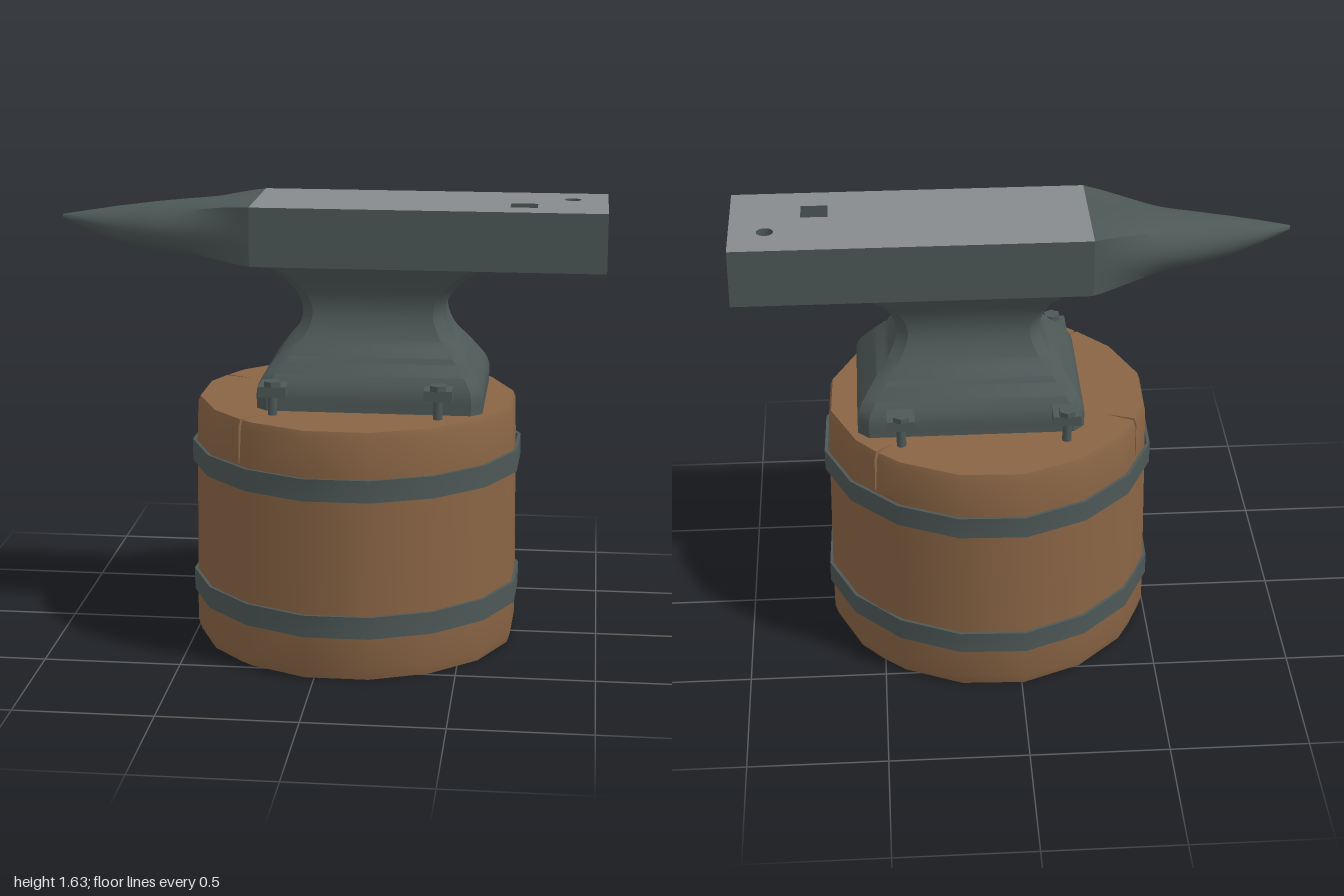
import * as THREE from 'three';
import { toCreasedNormals } from 'three/addons/utils/BufferGeometryUtils.js';

const steel = new THREE.MeshStandardMaterial({ color: 0x4d5857 });
steel.name = 'dark steel';
const polished = new THREE.MeshStandardMaterial({ color: 0x878b8e });
polished.name = 'polished steel';
const wood = new THREE.MeshStandardMaterial({ color: 0x8a6545 });
wood.name = 'wood';

// Skin a list of equal-length rings of [x, y, z] points, with optional end caps
function loft(rings, capped = true, crease = 0.6) {
  const n = rings[0].length;
  const pos = rings.flat(2);
  const index = [];
  for (let i = 0; i < rings.length - 1; i++) {
    for (let j = 0; j < n; j++) {
      const k = (j + 1) % n;
      const a = i * n + j, b = i * n + k, c = a + n, d = b + n;
      index.push(a, b, d, a, d, c);
    }
  }
  if (capped) {
    [0, rings.length - 1].forEach((r) => {
      const centre = pos.length / 3;
      for (let q = 0; q < 3; q++) pos.push((Math.min(...rings[r].map((p) => p[q])) + Math.max(...rings[r].map((p) => p[q]))) / 2);
      for (let j = 0; j < n; j++) {
        const a = r * n + j, b = r * n + (j + 1) % n;
        if (r === 0) index.push(centre, b, a);
        else index.push(centre, a, b);
      }
    });
  }
  const g = new THREE.BufferGeometry();
  g.setAttribute('position', new THREE.Float32BufferAttribute(pos, 3));
  g.setIndex(index);
  return toCreasedNormals(g, crease);
}

function add(parent, name, geometry, material) {
  const mesh = new THREE.Mesh(geometry, material);
  mesh.name = name;
  parent.add(mesh);
  return mesh;
}

// Uneven round outline of the log: [angle, radius factor, crack depth]
const SIDES = 16, STUMP_X = 0.093;
const outline = [];
for (let i = 0; i < SIDES; i++) outline.push([10 + i * 22.5, 1 - 0.018 * Math.abs(Math.sin(i * 2.3)), 0]);
const plainOutline = outline.slice();
for (const [angle, depth] of [[44, 0.16], [156, 0.2], [230, 0.17]]) {
  outline.push([angle - 0.6, 0.977, 0], [angle, 0.977, depth], [angle + 0.6, 0.977, 0]);
}
outline.sort((a, b) => a[0] - b[0]);

function logRing(points, radius, y, crack = 0) {
  return points.map(([deg, f, depth]) => {
    const a = THREE.MathUtils.degToRad(deg);
    const r = radius * f * (1 - depth * crack);
    return [STUMP_X + r * Math.cos(a), y, -r * Math.sin(a)];
  });
}

function buildStump() {
  const stump = new THREE.Group();
  stump.name = 'stump';
  // Radius, height, crack strength
  const levels = [[0.592, 0, 0], [0.604, 0.04, 0], [0.604, 0.2, 0], [0.6, 0.5, 0],
    [0.597, 0.75, 0], [0.594, 0.885, 1], [0.585, 0.91, 1]];
  add(stump, 'log', loft(levels.map(([r, y, c]) => logRing(outline, r, y, c))), wood);
  // Iron hoops
  for (const y of [0.16, 0.663]) {
    const profile = [[0.604, y], [0.616, y], [0.616, y + 0.081], [0.604, y + 0.081], [0.604, y]];
    add(stump, 'hoop', loft(profile.map(([r, h]) => logRing(plainOutline, r, h)), false), steel);
  }
  return stump;
}

// Waisted body with chamfered corners
function buildBody() {
  const curve = new THREE.CatmullRomCurve3([
    [0.408, 0.91, 0.3], [0.405, 0.99, 0.293], [0.345, 1.085, 0.23], [0.28, 1.17, 0.165],
    [0.258, 1.246, 0.14], [0.285, 1.32, 0.15], [0.4, 1.425, 0.212],
  ].map((p) => new THREE.Vector3(...p)));
  const rings = curve.getPoints(28).map(({ x, y, z }) => {
    const c = 0.04;
    return [[x, z - c], [x - c, z], [c - x, z], [-x, z - c], [-x, c - z], [c - x, -z], [x - c, -z], [x, c - z]]
      .map(([px, pz]) => [0.163 + px, y, -pz]);
  });
  return loft(rings);
}

// Flat slab with the square and round tool holes
function slab(y, height) {
  const s = new THREE.Shape([[-0.275, -0.226], [1, -0.226], [1, 0.226], [-0.275, 0.226]].map((p) => new THREE.Vector2(...p)));
  const square = [[0.652, -0.118], [0.652, -0.027], [0.749, -0.027], [0.749, -0.118]];
  s.holes.push(new THREE.Path(square.map((p) => new THREE.Vector2(...p))));
  s.holes.push(new THREE.Path().absarc(0.872, 0.08, 0.03, 0, Math.PI * 2, true));
  const g = new THREE.ExtrudeGeometry(s, { depth: height, bevelEnabled: false, curveSegments: 20 });
  return g.rotateX(-Math.PI / 2).translate(0, y, 0);
}

// Horn that blends from the square block to a round point
function buildHorn() {
  const curve = new THREE.CatmullRomCurve3([
    // Bottom, top and half width at each station along x
    [1.42, 1.635, 0.226], [1.42, 1.634, 0.193], [1.422, 1.628, 0.155], [1.432, 1.615, 0.12],
    [1.463, 1.596, 0.079], [1.5, 1.58, 0.05], [1.546, 1.562, 0.008],
  ].map((p) => new THREE.Vector3(...p)));
  const stations = [-0.275, -0.37, -0.5, -0.64, -0.79, -0.89, -1];
  const rings = [];
  for (let i = 0; i <= 24; i++) {
    const u = (i / 24) * 6, k = Math.min(5, Math.floor(u));
    const x = THREE.MathUtils.lerp(stations[k], stations[k + 1], u - k);
    const { x: bottom, y: top, z: half } = curve.getPoint(i / 24);
    const round = THREE.MathUtils.smoothstep(-x, 0.24, 0.62);
    const ring = [];
    for (let j = 0; j < 32; j++) {
      const a = (j / 32) * Math.PI * 2, c = Math.cos(a), s = Math.sin(a);
      const m = THREE.MathUtils.lerp(1 / Math.max(Math.abs(c), Math.abs(s)), 1, round);
      ring.push([x, (top + bottom) / 2 + c * m * (top - bottom) / 2, -s * m * half]);
    }
    rings.push(ring);
  }
  return loft(rings, true, 0.75);
}

// Hold-down plate with a hex bolt, reaching outward along +z
function buildClamp() {
  const clamp = new THREE.Group();
  clamp.name = 'clamp';
  add(clamp, 'clampPlate', new THREE.BoxGeometry(0.1, 0.038, 0.13), steel).position.set(0, 0.996, 0.308);
  add(clamp, 'boltShank', new THREE.CylinderGeometry(0.017, 0.017, 0.11, 12), steel).position.set(0, 0.96, 0.354);
  const head = new THREE.CylinderGeometry(0.032, 0.032, 0.02, 6).toNonIndexed();
  head.computeVertexNormals();
  add(clamp, 'boltHead', head, steel).position.set(0, 1.025, 0.355);
  return clamp;
}

export function createModel() {
  const model = new THREE.Group();
  model.name = 'anvilOnStump';
  model.add(buildStump());

  const anvil = new THREE.Group();
  anvil.name = 'anvil';
  add(anvil, 'body', buildBody(), steel);
  add(anvil, 'block', slab(1.42, 0.21), steel);
  add(anvil, 'face', slab(1.63, 0.005), [polished, steel]);
  add(anvil, 'horn', buildHorn(), steel);
  model.add(anvil);

  for (const x of [-0.175, 0.417]) {
    for (const turn of [0, Math.PI]) {
      const clamp = buildClamp();
      clamp.position.x = x;
      clamp.rotation.y = turn;
      model.add(clamp);
    }
  }
  return model;
}
